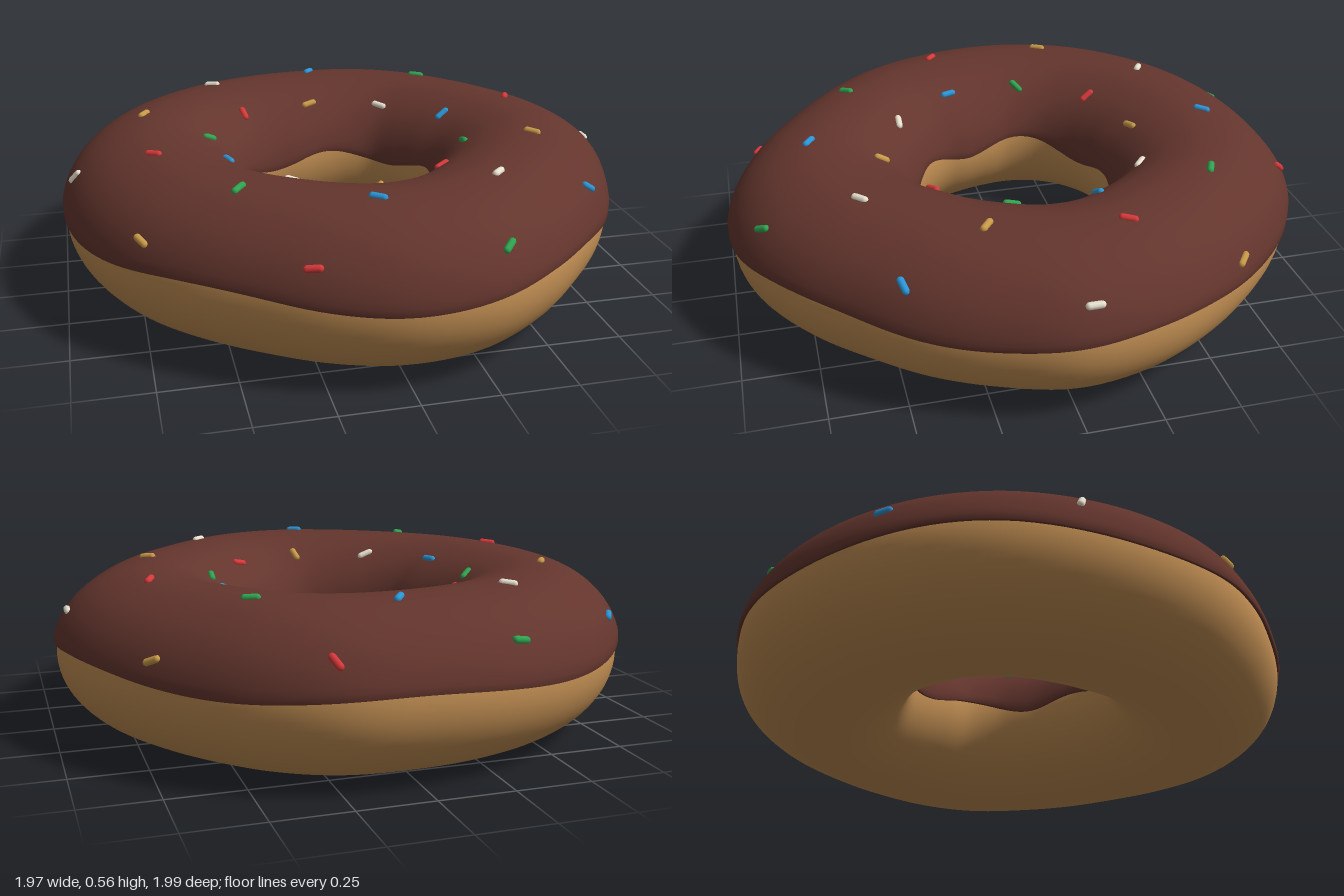
import * as THREE from 'three';

// Outer and hole radius every 15 degrees, turning from +x towards +z
const OUTER = [0.99, 0.957, 0.94, 0.935, 0.965, 0.999, 0.996, 0.962, 0.93, 0.932, 0.957, 0.977,
  0.995, 1.01, 1.016, 1.016, 1.012, 1.005, 1.0, 1.008, 0.988, 0.967, 0.968, 0.983];
const INNER = [0.325, 0.303, 0.293, 0.29, 0.302, 0.32, 0.328, 0.318, 0.311, 0.314, 0.315, 0.308,
  0.325, 0.357, 0.373, 0.366, 0.352, 0.34, 0.345, 0.358, 0.37, 0.352, 0.34, 0.342];
const MID_Y = 0.265, HALF_HEIGHT = 0.28, ICING = 0.015;
const SEGMENTS = 144;

// Smooth periodic lookup in a radius table
function lookup(table, theta) {
  const n = table.length;
  const t = (((theta / (2 * Math.PI)) % 1) + 1) % 1 * n;
  const i = Math.floor(t), f = t - i;
  const [a, b, c, d] = [-1, 0, 1, 2].map((k) => table[(i + k + n) % n]);
  return b + 0.5 * f * (c - a + f * (2 * a - 5 * b + 4 * c - d + f * (3 * (b - c) + d - a)));
}

// Point on the lumpy ring; inset shrinks the cross-section
function ringPoint(theta, phi, inset = 0) {
  const outer = lookup(OUTER, theta), inner = lookup(INNER, theta);
  const r = (outer + inner) / 2 + ((outer - inner) / 2 - inset) * Math.cos(phi);
  const y = MID_Y + (HALF_HEIGHT - inset) * Math.sin(phi);
  return new THREE.Vector3(r * Math.cos(theta), y, r * Math.sin(theta));
}

// Grid swept around the ring, closed around theta and optionally around phi
function sweep(rows, closed, pointAt) {
  const positions = [], index = [];
  for (let i = 0; i < SEGMENTS; i++) {
    for (let j = 0; j < rows; j++) {
      positions.push(...pointAt((i / SEGMENTS) * 2 * Math.PI, j).toArray());
    }
  }
  for (let i = 0; i < SEGMENTS; i++) {
    const next = (i + 1) % SEGMENTS;
    for (let j = 0; j < (closed ? rows : rows - 1); j++) {
      const k = (j + 1) % rows;
      const a = i * rows + j, b = i * rows + k, c = next * rows + k, d = next * rows + j;
      index.push(a, b, d, b, c, d);
    }
  }
  const geometry = new THREE.BufferGeometry();
  geometry.setAttribute('position', new THREE.Float32BufferAttribute(positions, 3));
  geometry.setIndex(index);
  geometry.computeVertexNormals();
  return geometry;
}

// Icing with a wavy hem and a small rounded lip at both edges
const LIP = [0.018, 0.009, 0.003];
function icingPoint(theta, j, rows) {
  const wave = 0.303 + 0.015 * Math.cos(5 * (theta - 1.0));
  const start = Math.asin((wave - MID_Y) / HALF_HEIGHT);
  const innerWave = 0.3 + 0.022 * Math.cos(5 * (theta - 1.0));
  const end = Math.PI - Math.asin((innerWave - MID_Y) / HALF_HEIGHT);
  const edge = Math.min(j, rows - 1 - j);
  const last = LIP.length;
  const u = THREE.MathUtils.clamp((j - last + 1) / (rows - 2 * last + 1), 0, 1);
  const tuck = edge < last ? [0, -0.012, -0.008][edge] * (j < rows / 2 ? 1 : -1) : 0;
  return ringPoint(theta, start + (end - start) * u + tuck, edge < last ? LIP[edge] : 0);
}

// Sprinkles as [x, z, turn in degrees seen from above]
const SPRINKLES = {
  white: [[-0.39, -0.62, 30], [0.24, -0.41, 50], [-0.94, -0.02, 10],
    [0.935, -0.03, 90], [-0.25, 0.35, -10], [0.37, 0.57, -45]],
  red: [[0.28, -0.915, 85], [-0.3, -0.385, 70], [0.685, -0.21, -65],
    [-0.68, 0.15, 35], [0.265, 0.32, -20], [-0.29, 0.86, 12]],
  green: [[-0.3, -0.895, 0], [0.44, -0.58, 25], [-0.46, -0.145, -25],
    [0.42, 0.09, 85], [-0.45, 0.515, -45], [0.295, 0.88, -65]],
  blue: [[-0.78, -0.585, -75], [0.02, -0.72, -55], [0.43, -0.195, -20],
    [-0.43, 0.13, 70], [-0.055, 0.69, 35], [0.72, 0.495, 5]],
  yellow: [[0.743, -0.58, 5], [-0.03, -0.465, -25], [-0.68, -0.29, -55],
    [0.625, 0.22, 40], [0.01, 0.45, 80], [-0.755, 0.515, 85]],
};

// Lay one sprinkle flat on the icing
function placeSprinkle(mesh, x, z, turn) {
  const theta = Math.atan2(z, x);
  const outer = lookup(OUTER, theta), inner = lookup(INNER, theta);
  const c = (Math.hypot(x, z) - (outer + inner) / 2) / ((outer - inner) / 2);
  const phi = Math.acos(THREE.MathUtils.clamp(c, -0.95, 0.95));
  const e = 0.01;
  const across = ringPoint(theta, phi + e).sub(ringPoint(theta, phi - e));
  const along = ringPoint(theta + e, phi).sub(ringPoint(theta - e, phi));
  const normal = across.cross(along).normalize();
  const angle = THREE.MathUtils.degToRad(turn);
  const dir = new THREE.Vector3(Math.cos(angle), 0, Math.sin(angle)).projectOnPlane(normal).normalize();
  const side = new THREE.Vector3().crossVectors(dir, normal);
  mesh.quaternion.setFromRotationMatrix(new THREE.Matrix4().makeBasis(side, dir, normal).transpose().invert());
  mesh.quaternion.setFromRotationMatrix(new THREE.Matrix4().makeBasis(dir.clone().cross(normal), dir, normal));
  mesh.position.copy(ringPoint(theta, phi));
}

export function createModel() {
  const material = (name, color) => {
    const m = new THREE.MeshStandardMaterial({ color });
    m.name = name;
    return m;
  };
  const group = new THREE.Group();
  group.name = 'donut';

  // Dough ring
  const doughRows = 64;
  const dough = new THREE.Mesh(
    sweep(doughRows, true, (theta, j) => ringPoint(theta, (j / doughRows) * 2 * Math.PI, ICING)),
    material('dough', 0xc08d52));
  dough.name = 'dough';

  // Chocolate icing shell
  const icingRows = 46;
  const icingMaterial = material('chocolate', 0x63352d);
  icingMaterial.side = THREE.DoubleSide;
  const icing = new THREE.Mesh(
    sweep(icingRows, false, (theta, j) => icingPoint(theta, j, icingRows)), icingMaterial);
  icing.name = 'icing';
  group.add(dough, icing);

  // Sprinkles grouped by colour
  const colors = { white: 0xe8e2d0, red: 0xd8383a, green: 0x2fa450, blue: 0x2b95d6, yellow: 0xc89a48 };
  const shape = new THREE.CapsuleGeometry(0.012, 0.038, 4, 10);
  for (const [name, spots] of Object.entries(SPRINKLES)) {
    const set = new THREE.Group();
    set.name = `${name}Sprinkles`;
    const paint = material(`${name} sugar`, colors[name]);
    for (const [x, z, turn] of spots) {
      const sprinkle = new THREE.Mesh(shape, paint);
      sprinkle.name = 'sprinkle';
      placeSprinkle(sprinkle, x, z, turn);
      set.add(sprinkle);
    }
    group.add(set);
  }
  return group;
}
